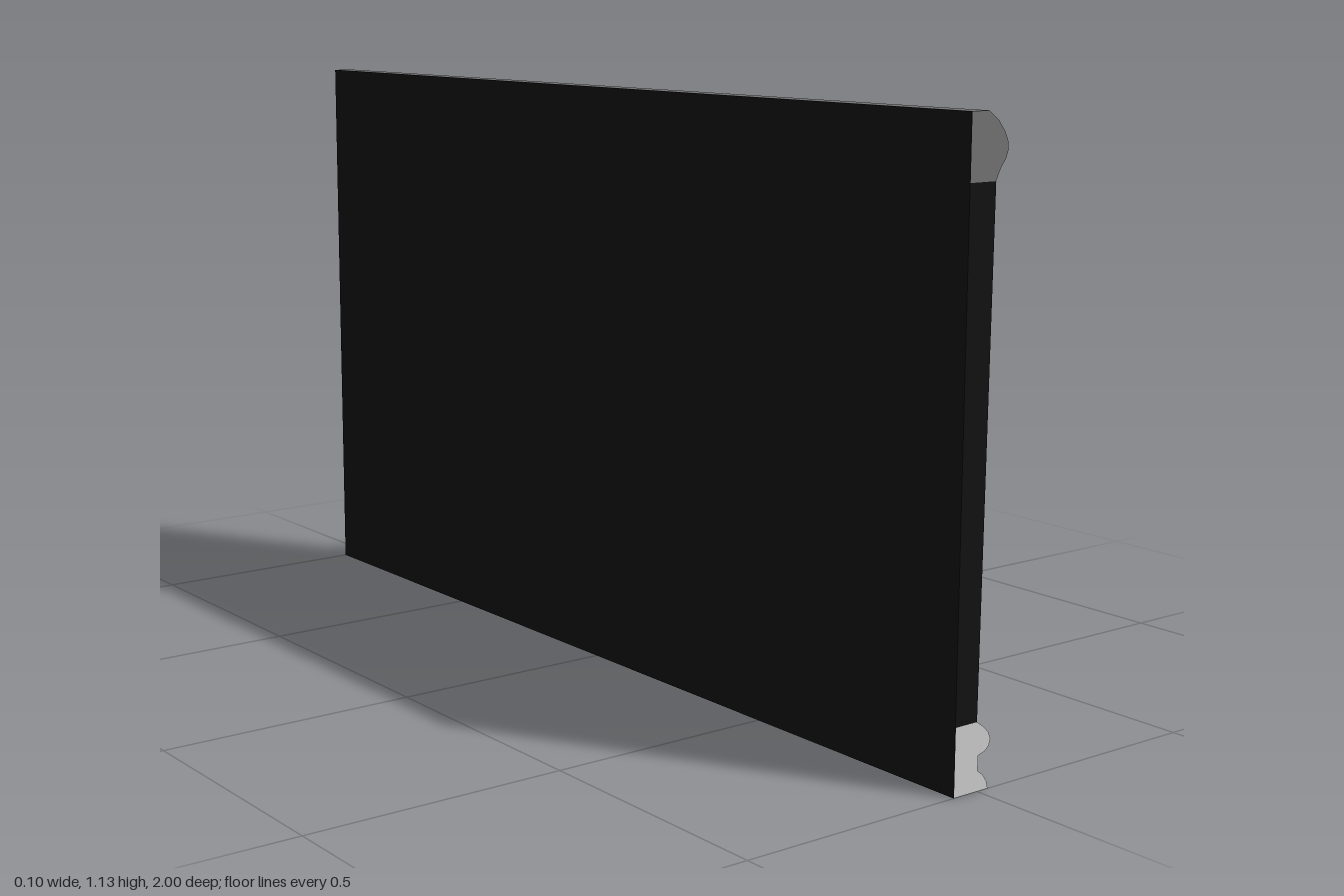
import * as THREE from 'three';
import { toCreasedNormals } from 'three/addons/utils/BufferGeometryUtils.js';

const BACK = -0.054;
// the face of the panelling leans forward very slightly with height
const lean = (y) => -0.006 + 0.0094 * y;

function mesh(name, geometry, color = 0xcccccc) {
  const m = new THREE.Mesh(geometry, new THREE.MeshStandardMaterial({ color }));
  m.name = name;
  return m;
}

// x/y profile run along the whole length
function run(points) {
  const shape = new THREE.Shape(points.map(([x, y]) => new THREE.Vector2(x, y)));
  const g = new THREE.ExtrudeGeometry(shape, { depth: 2, bevelEnabled: false });
  g.translate(0, 0, -1);
  return toCreasedNormals(g, 0.45);
}

// four corners, counter-clockwise seen from +x
function ring(y0, y1, z, lift) {
  return [[y0, z], [y0, -z], [y1, -z], [y1, z]]
    .map(([y, w]) => [lean(y) + lift, y, w]);
}

function quads(list) {
  const pos = [];
  for (const [a, b, c, d] of list) pos.push(...a, ...b, ...c, ...a, ...c, ...d);
  const g = new THREE.BufferGeometry();
  g.setAttribute('position', new THREE.Float32BufferAttribute(pos, 3));
  g.computeVertexNormals();
  return g;
}

export function createModel() {
  const group = new THREE.Group();
  group.name = 'wallPanelling';

  // dark core board, with a thin backing behind both mouldings
  group.add(mesh('backBoard', run([
    [-0.055, 0], [BACK, 0], [BACK, 0.122], [lean(0.122), 0.122],
    [lean(1.02), 1.02], [BACK, 1.02], [BACK, 1.133], [-0.055, 1.133],
  ]), 0x111111));

  // pale face of the board
  group.add(mesh('boardFace', quads([ring(0.122, 1.02, 1, 0.001)])));

  // rounded cap rail
  group.add(mesh('topRail', run([
    [BACK, 1.02], [0.003, 1.02], [0.013, 1.04], [0.025, 1.056], [0.03, 1.07],
    [0.028, 1.085], [0.02, 1.1], [0.006, 1.117], [-0.016, 1.133], [BACK, 1.133],
  ]), 0x737373));

  // skirting with a bead above a cove
  group.add(mesh('baseMoulding', run([
    [BACK, 0], [0.025, 0], [0.021, 0.014], [0.012, 0.027], [0, 0.036],
    [0, 0.063], [0.015, 0.067], [0.025, 0.076], [0.028, 0.087],
    [0.023, 0.099], [0.011, 0.111], [-0.005, 0.122], [BACK, 0.122],
  ])));

  // mitred picture frame: [inset in y, inset in z, lift off the board]
  const rings = [
    [0, 0, 0], [0.006, 0.013, 0.022], [0.022, 0.06, 0.047], [0.041, 0.093, 0.004],
  ].map(([dy, dz, lift]) => ring(0.215 + dy, 0.965 - dy, 0.804 - dz, lift));
  const sides = [];
  for (let r = 0; r < rings.length - 1; r++) {
    for (let i = 0; i < 4; i++) {
      const j = (i + 1) % 4;
      sides.push([rings[r][i], rings[r][j], rings[r + 1][j], rings[r + 1][i]]);
    }
  }
  group.add(mesh('panelFrame', quads(sides)));

  // darker field inside the frame
  group.add(mesh('innerPanel', quads([rings[rings.length - 1]]), 0x6a6a6a));

  return group;
}
